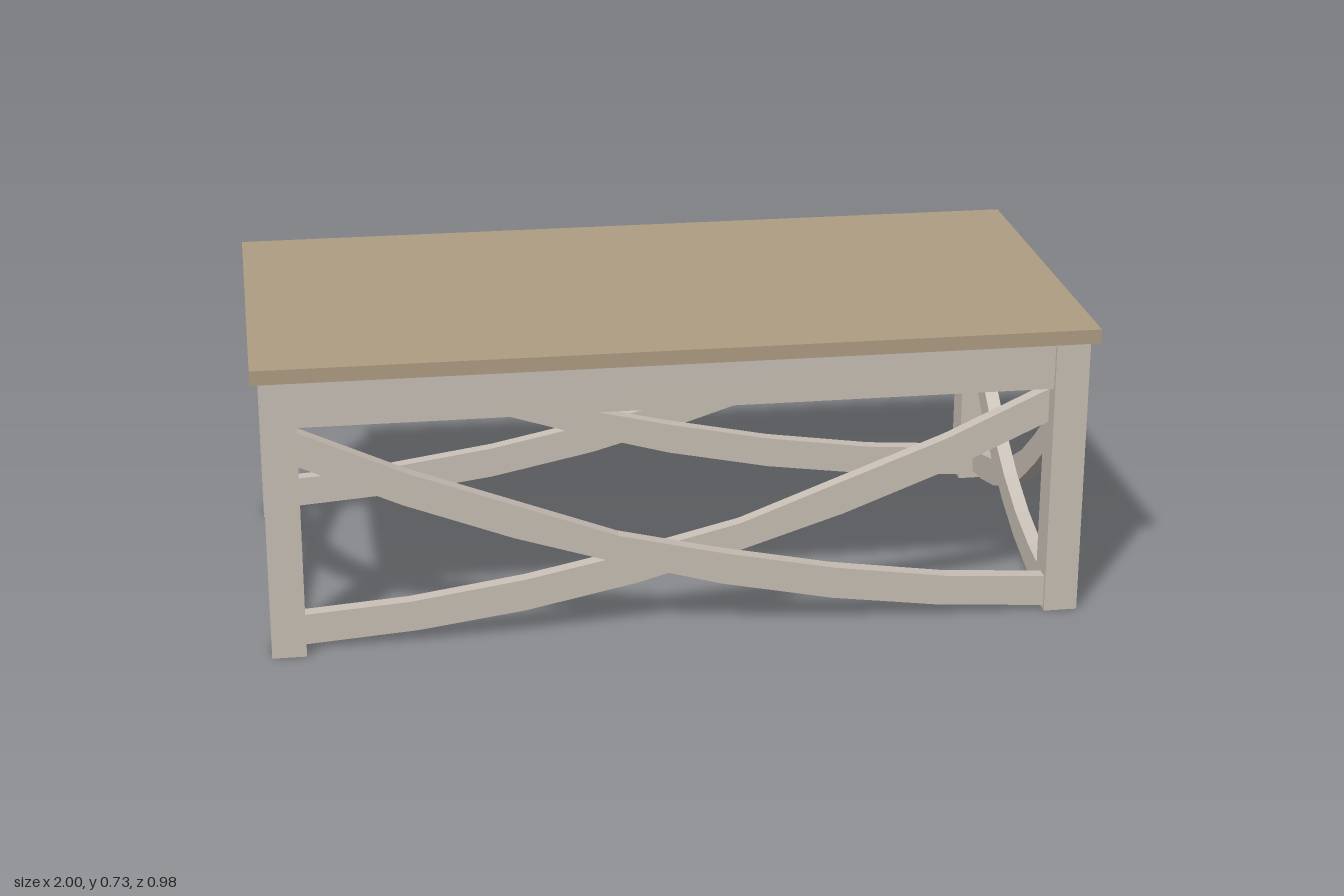
import * as THREE from 'three';

const LEG = 0.082, TOP_Y = 0.695, LEG_X = 0.98, LEG_Z = 0.475;
const RECESS = 0.01, BRACE = 0.035, APRON = 0.045;

// Edges of the sagging braces, falling from left to right
const longBrace = {
  upper: [[-0.91, 0.57], [-0.65, 0.45], [-0.4, 0.355], [-0.15, 0.26], [0.1, 0.2], [0.37, 0.145], [0.65, 0.105], [0.91, 0.087]],
  lower: [[-0.91, 0.485], [-0.66, 0.37], [-0.4, 0.27], [-0.15, 0.19], [0.1, 0.12], [0.37, 0.065], [0.63, 0.03], [0.91, 0.01]],
};
const shortBrace = {
  upper: [[-0.4, 0.545], [-0.31, 0.455], [-0.195, 0.355], [-0.085, 0.27], [0.05, 0.19], [0.175, 0.137], [0.3, 0.104], [0.4, 0.088]],
  lower: [[-0.4, 0.455], [-0.32, 0.375], [-0.2, 0.275], [-0.08, 0.187], [0.045, 0.118], [0.17, 0.067], [0.3, 0.034], [0.4, 0.02]],
};

export function createModel() {
  const paint = new THREE.MeshStandardMaterial({ color: 0xc9c0b6 });
  paint.name = 'painted wood';
  const wood = new THREE.MeshStandardMaterial({ color: 0xb09e84 });
  wood.name = 'tabletop wood';

  const table = new THREE.Group();
  table.name = 'coffeeTable';

  function box(name, parent, material, w, h, d, x, y, z) {
    const mesh = new THREE.Mesh(new THREE.BoxGeometry(w, h, d), material);
    mesh.name = name;
    mesh.position.set(x, y, z);
    parent.add(mesh);
  }

  // Curved plank, its front face at z = front; mirror swaps its direction
  function brace(name, parent, edges, mirror, front) {
    const s = mirror ? -1 : 1;
    const outline = [...edges.upper, ...edges.lower.slice().reverse()];
    const shape = new THREE.Shape(outline.map(([u, y]) => new THREE.Vector2(s * u, y)));
    const geometry = new THREE.ExtrudeGeometry(shape, { depth: BRACE, bevelEnabled: false });
    const mesh = new THREE.Mesh(geometry, paint);
    mesh.name = name;
    mesh.position.z = front - BRACE;
    parent.add(mesh);
  }

  // Tabletop
  box('tabletop', table, wood, 2, 0.035, 0.98, 0, TOP_Y + 0.0175, 0);

  // Legs
  for (const x of [-1, 1]) {
    for (const z of [-1, 1]) {
      box('leg', table, paint, LEG, TOP_Y, LEG,
        x * (LEG_X - LEG / 2), TOP_Y / 2, z * (LEG_Z - LEG / 2));
    }
  }

  // Four sides, each with an apron and a pair of crossing braces
  const sides = [
    ['front', 0, LEG_X, LEG_Z, longBrace],
    ['left', Math.PI / 2, LEG_Z, LEG_X, shortBrace],
    ['back', Math.PI, LEG_X, LEG_Z, longBrace],
    ['right', -Math.PI / 2, LEG_Z, LEG_X, shortBrace],
  ];
  for (const [name, angle, halfSpan, reach, edges] of sides) {
    const side = new THREE.Group();
    side.name = name + 'Side';
    side.rotation.y = angle;
    const face = reach - RECESS;
    box('apron', side, paint, 2 * (halfSpan - LEG) + 0.01, 0.118, APRON, 0, TOP_Y - 0.059, face - APRON / 2);
    brace('outerBrace', side, edges, false, face);
    brace('innerBrace', side, edges, true, face - BRACE);
    table.add(side);
  }
  return table;
}
